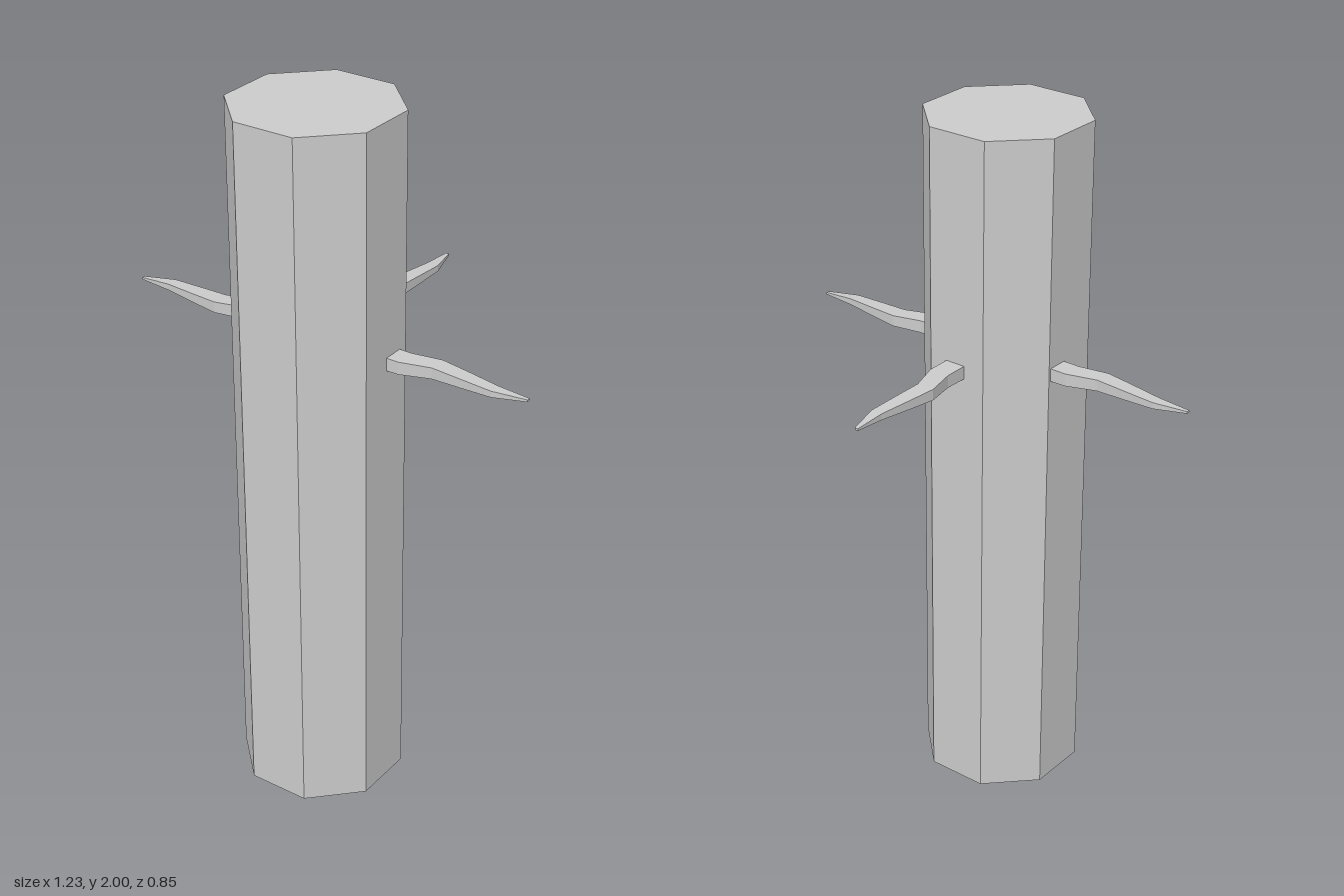
import * as THREE from 'three';

const material = new THREE.MeshStandardMaterial({ color: 0xcccccc, flatShading: true });

// Branch sections along +x: [distance, side min, side max, half height]
const sections = [
  [-0.08, -0.03, 0.03, 0.019],
  [0, -0.03, 0.03, 0.018],
  [0.085, -0.048, 0.004, 0.016],
  [0.165, -0.038, 0.007, 0.013],
  [0.265, -0.024, 0.01, 0.009],
  [0.357, -0.023, -0.013, 0.003],
];

// A segmented box whose rings are moved onto the sections
function branchGeometry() {
  const n = sections.length - 1;
  const geometry = new THREE.BoxGeometry(n, 2, 2, n, 1, 1);
  const p = geometry.attributes.position;
  for (let i = 0; i < p.count; i++) {
    const [d, lo, hi, h] = sections[Math.round(p.getX(i) + n / 2)];
    p.setXYZ(i, d, p.getY(i) * h, p.getZ(i) > 0 ? hi : lo);
  }
  geometry.computeVertexNormals();
  return geometry;
}

export function createModel() {
  const model = new THREE.Group();
  model.name = 'trunkWithBranches';

  // Octagonal trunk with a flat side to the front
  const trunkGeometry = new THREE.CylinderGeometry(0.232, 0.232, 2, 8);
  trunkGeometry.rotateY(Math.PI / 8);
  const trunk = new THREE.Mesh(trunkGeometry, material);
  trunk.name = 'trunk';
  trunk.position.set(0.005, 1, 0.212);
  model.add(trunk);

  // Three crooked, tapering branches at one height
  const geometry = branchGeometry();
  const branches = [
    ['leftBranch', 0.255, 0.18, 0],
    ['backBranch', 0.01, -0.07, Math.PI / 2],
    ['rightBranch', -0.257, 0.16, Math.PI],
  ];
  for (const [name, x, z, turn] of branches) {
    const branch = new THREE.Mesh(geometry, material);
    branch.name = name;
    branch.position.set(x, 1.337, z);
    branch.rotation.y = turn;
    model.add(branch);
  }
  return model;
}
